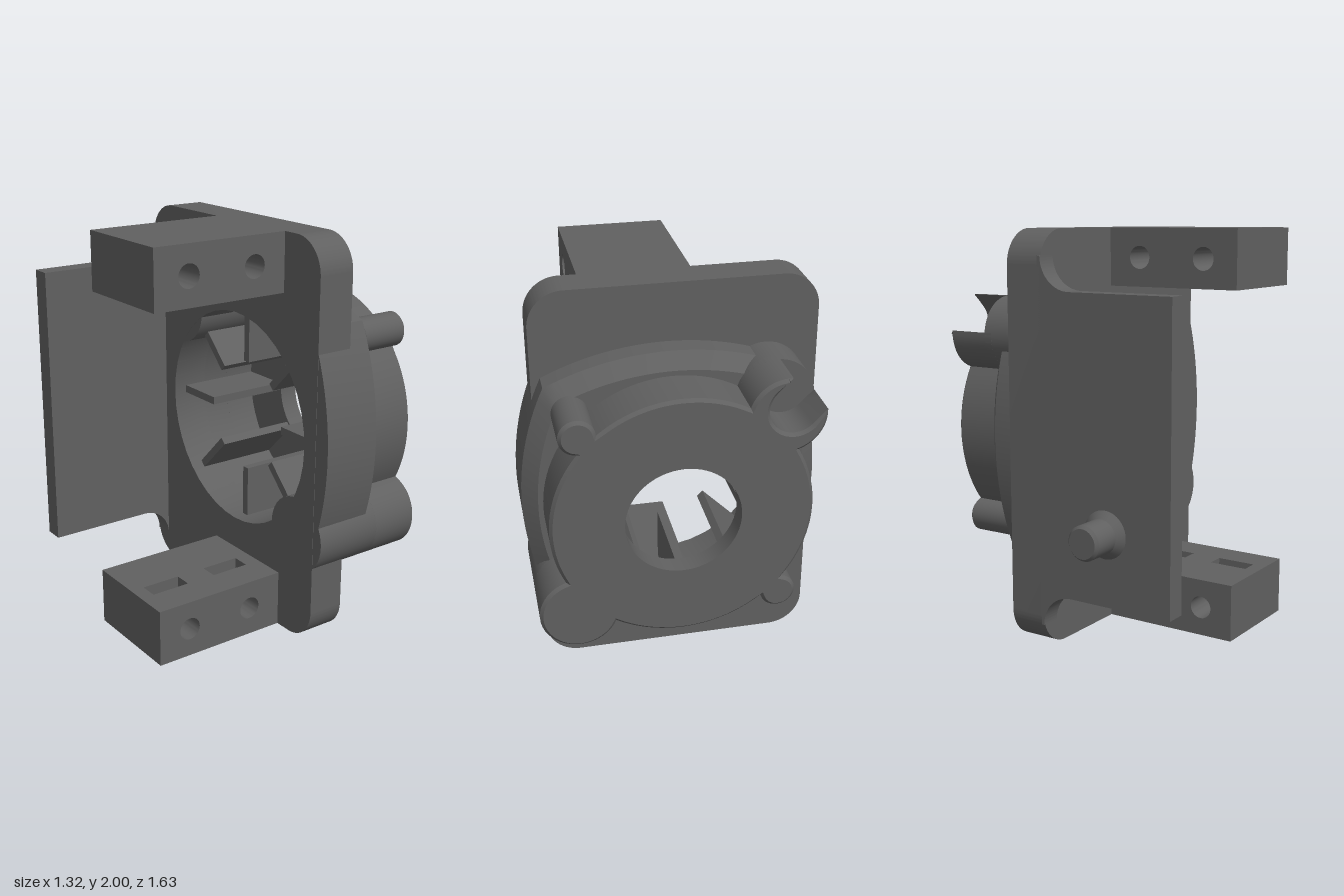
import * as THREE from 'three';
import { toCreasedNormals } from 'three/addons/utils/BufferGeometryUtils.js';

const CY = 1.0, CZ = 0.1; // axis of the round housing (runs along x)

// Outline of the drum merged with its corner bosses; one boss has an open U-shaped notch
function drumOutline(D, bosses) {
  const pts = [];
  const arc = (x, y, r, a0, a1, n, first = 1) => {
    for (let i = first; i <= n; i++) {
      const t = a0 + (a1 - a0) * i / n;
      pts.push(new THREE.Vector2(x + r * Math.cos(t), y + r * Math.sin(t)));
    }
  };
  const parts = bosses.map(b => {
    const d = Math.hypot(b.a, b.y), th = (Math.atan2(b.y, b.a) + 2 * Math.PI) % (2 * Math.PI);
    const alpha = Math.acos((D * D + d * d - b.r * b.r) / (2 * D * d));
    return { ...b, th, alpha, beta: Math.atan2(D * Math.sin(alpha), D * Math.cos(alpha) - d) };
  });
  parts.forEach((b, i) => {
    if (b.notch) {
      const g = Math.asin(b.notch / b.r), s = 0.045;
      arc(b.a, b.y, b.r, b.th - b.beta, b.th - g, 12);
      arc(b.a + s * Math.cos(b.th), b.y + s * Math.sin(b.th), b.notch,
        b.th - Math.PI / 2, b.th - Math.PI * 1.5, 20, 0);
      arc(b.a, b.y, b.r, b.th + g, b.th + b.beta, 12, 0);
    } else arc(b.a, b.y, b.r, b.th - b.beta, b.th + b.beta, 28);
    const next = parts[(i + 1) % parts.length];
    const end = next.th - next.alpha + (i === parts.length - 1 ? 2 * Math.PI : 0);
    arc(0, 0, D, b.th + b.alpha, end, 20);
  });
  return new THREE.Shape(pts);
}

export function createModel() {
  const model = new THREE.Group();
  const mat = new THREE.MeshStandardMaterial({ color: 0x606060 });
  const add = (name, geo) => {
    const mesh = new THREE.Mesh(toCreasedNormals(geo, 0.5), mat);
    mesh.name = name;
    model.add(mesh);
  };
  const extrude = (shape, depth) =>
    new THREE.ExtrudeGeometry(shape, { depth, bevelEnabled: false, curveSegments: 20 });
  const lathe = pts => new THREE.LatheGeometry(pts.map(p => new THREE.Vector2(...p)), 40);
  const circle = (x, y, r) => new THREE.Path().absarc(x, y, r, 0, Math.PI * 2, true);

  // Mounting plate with rounded corners and a bore, drawn in (-z, y) and extruded along +x
  const a0 = -0.73, a1 = 0.635, r = 0.17;
  const plate = new THREE.Shape();
  plate.absarc(a1 - r, r, r, -Math.PI / 2, 0);
  plate.absarc(a1 - r, 2 - r, r, 0, Math.PI / 2);
  plate.absarc(a0 + r, 2 - r, r, Math.PI / 2, Math.PI);
  plate.absarc(a0 + r, r, r, Math.PI, Math.PI * 1.5);
  plate.closePath();
  plate.holes.push(circle(-CZ, CY, 0.55));
  add('mountingPlate', extrude(plate, 0.19).rotateY(Math.PI / 2).translate(0.045, 0, 0));

  // Flange: bulged square with a chamfer, open in the middle
  const R = 1.38, c = R - 0.715, N = 96;
  const bulged = t => {
    const q = Math.PI / 2, p = t - Math.round(t / q) * q;
    return -c * Math.cos(p) + Math.sqrt(R * R - (c * Math.sin(p)) ** 2);
  };
  const rings = [
    [0.047, bulged], [0.345, bulged], [0.41, t => bulged(t) * 0.9],
    [0.41, () => 0.55], [0.047, () => 0.55], [0.047, bulged],
  ];
  const pos = [], idx = [];
  rings.forEach(([x, f], i) => {
    for (let j = 0; j < N; j++) {
      const t = j / N * Math.PI * 2;
      pos.push(x, CY + f(t) * Math.sin(t), CZ + f(t) * Math.cos(t));
      if (i === rings.length - 1) continue;
      const a = i * N + j, b = i * N + (j + 1) % N;
      idx.push(a, a + N, b, b, a + N, b + N);
    }
  });
  const flange = new THREE.BufferGeometry();
  flange.setAttribute('position', new THREE.Float32BufferAttribute(pos, 3));
  flange.setIndex(idx);
  add('flange', flange);

  // Drum with merged corner bosses and a chamfered front edge
  const drumShape = drumOutline(0.62, [
    { a: 0.48, y: 0.485, r: 0.185, notch: 0.12 },
    { a: -0.475, y: 0.478, r: 0.085 },
    { a: -0.5, y: -0.455, r: 0.188 },
    { a: 0.47, y: -0.47, r: 0.085 },
  ]);
  drumShape.holes.push(new THREE.Path(Array.from({ length: 64 }, (_, i) =>
    new THREE.Vector2(0.55, 0).rotateAround(new THREE.Vector2(), -i / 64 * Math.PI * 2))));
  const depth = 0.245;
  const drum = new THREE.ExtrudeGeometry(drumShape, {
    depth, steps: 2, bevelThickness: 0.015, bevelSize: 0.015, bevelOffset: -0.015, bevelSegments: 1,
  });
  // Step the hole: wide cavity behind, narrow bore through the front wall
  const p = drum.attributes.position;
  for (let i = 0; i < p.count; i++) {
    const x = p.getX(i), y = p.getY(i), z = p.getZ(i), d = Math.hypot(x, y);
    if (d > 0.575) continue;
    const k = (z > depth * 0.75 ? 0.275 : 0.55) / d;
    const inStep = z > depth * 0.25 && z < depth + 0.005;
    p.setXYZ(i, x * k, y * k, inStep ? 0.16 : z);
  }
  add('drum', drum.rotateY(Math.PI / 2).translate(0.4, CY, CZ));

  // Stiffening ribs inside the cavity
  for (let i = 0; i < 8; i++) {
    const rib = new THREE.BoxGeometry(0.45, 0.04, 0.27).translate(0.34, 0, 0.42);
    add('rib', rib.rotateX(i * Math.PI / 4).translate(0, CY, CZ));
  }

  // Round boss bases running back to the plate
  const bossBase = (name, y, z, rad, x1) => add(name, lathe([
    [0, 0.047], [rad, 0.047], [rad, x1], [0, x1],
  ]).rotateZ(-Math.PI / 2).translate(0, y, z));
  bossBase('largeBossBase', 0.545, 0.6, 0.188, 0.405);
  bossBase('openBossBase', 1.485, -0.38, 0.185, 0.44);

  // Side wall, filleted into the plate at top and bottom
  const f = 0.16, wall = new THREE.Shape();
  wall.moveTo(-0.66, 0.28);
  wall.lineTo(0.045 - f, 0.28);
  wall.absarc(0.045 - f, 0.28 - f, f, Math.PI / 2, 0, true);
  wall.lineTo(0.06, 0.28 - f);
  wall.lineTo(0.06, 1.72 + f);
  wall.lineTo(0.045, 1.72 + f);
  wall.absarc(0.045 - f, 1.72 + f, f, 0, -Math.PI / 2, true);
  wall.lineTo(-0.66, 1.72);
  wall.closePath();
  add('sideWall', extrude(wall, 0.1).translate(0, 0, -0.635));

  // Pin on the outside of the wall
  add('pin', lathe([
    [0, 0], [0.115, 0], [0.083, 0.035], [0.083, 0.165], [0.07, 0.18], [0, 0.18],
  ]).rotateX(-Math.PI / 2).translate(-0.31, 0.625, -0.635));

  // Mounting blocks: cross-holes along z with nut pockets on the inner faces
  const holesX = [-0.49, -0.135];
  const drilled = new THREE.Shape([[-0.66, 0], [0.045, 0], [0.045, 0.285], [-0.66, 0.285]]
    .map(q => new THREE.Vector2(...q)));
  holesX.forEach(x => drilled.holes.push(circle(x, 0.143, 0.056)));
  const pocketed = new THREE.Shape();
  pocketed.moveTo(-0.66, 0.285);
  pocketed.lineTo(-0.66, 0);
  pocketed.lineTo(0.045, 0);
  pocketed.lineTo(0.045, 0.285);
  [...holesX].reverse().forEach(x => {
    pocketed.lineTo(x + 0.1, 0.285);
    pocketed.lineTo(x + 0.1, 0.05);
    pocketed.lineTo(x - 0.1, 0.05);
    pocketed.lineTo(x - 0.1, 0.285);
  });
  pocketed.closePath();
  for (const top of [false, true]) {
    for (const [shape, z0, z1] of [[drilled, -0.06, 0.22], [pocketed, 0.22, 0.31], [drilled, 0.31, 0.475]]) {
      const geo = extrude(shape, z1 - z0);
      // The upper block is the lower one turned over about the z axis
      if (top) geo.rotateZ(Math.PI).translate(-0.615, 2, 0);
      add(top ? 'upperBlock' : 'lowerBlock', geo.translate(0, 0, z0));
    }
  }
  return model;
}
